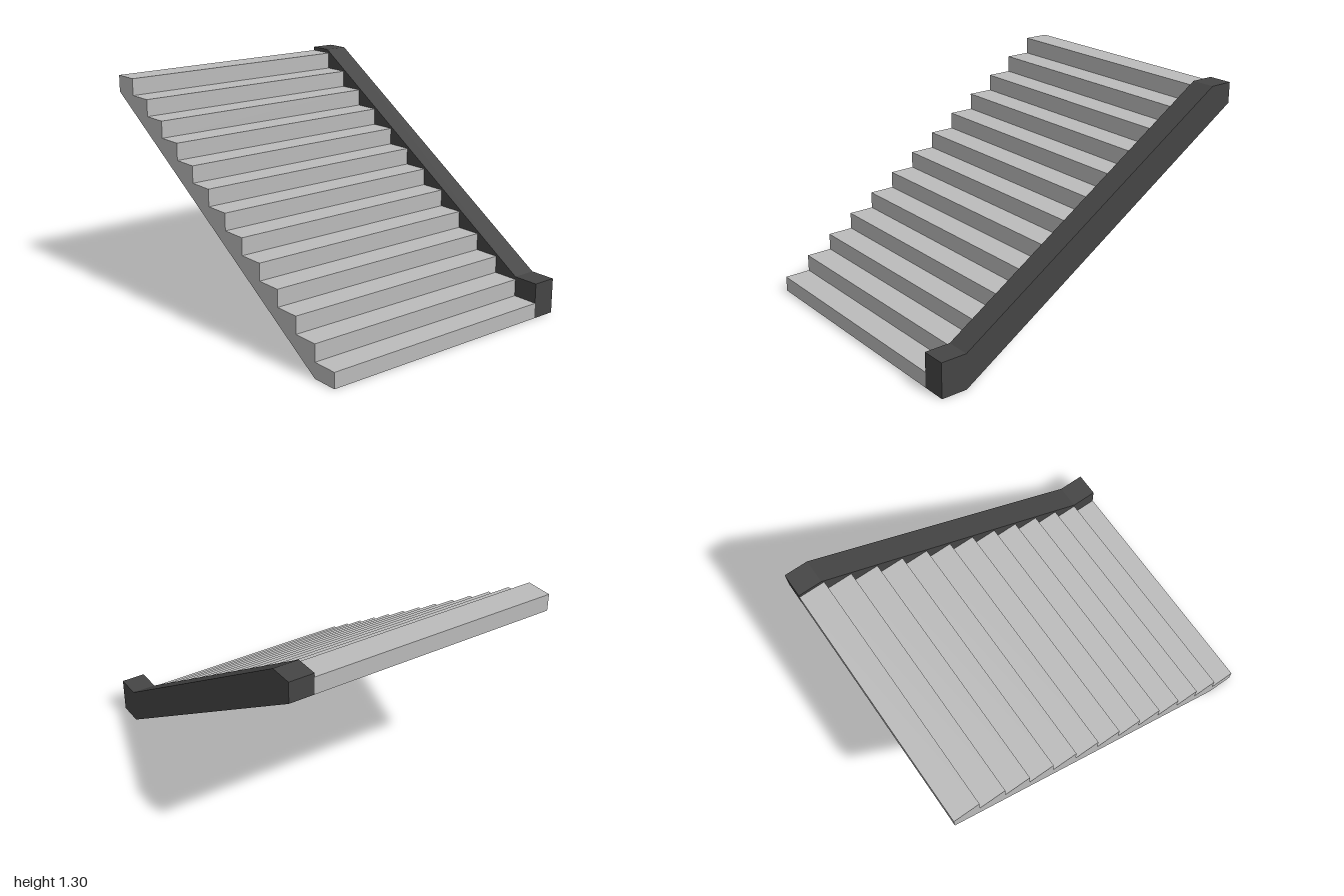
import * as THREE from 'three';

const STEPS = 13;
const RUN = 2 / STEPS;
const BOTTOM = 0.09, TOP = 1.275;
const RISE = (TOP - BOTTOM) / (STEPS - 1);
const CURB_Z = -0.657;

// Side profile in x/y, extruded between two z positions
function slab(name, points, z0, z1, material) {
  const shape = new THREE.Shape(points.map(([x, y]) => new THREE.Vector2(x, y)));
  const geometry = new THREE.ExtrudeGeometry(shape, { depth: z1 - z0, bevelEnabled: false });
  geometry.translate(0, 0, z0);
  const mesh = new THREE.Mesh(geometry, material);
  mesh.name = name;
  return mesh;
}

export function createModel() {
  const stone = new THREE.MeshStandardMaterial({ color: 0xbbbbbb });
  stone.name = 'light grey stone';
  const dark = new THREE.MeshStandardMaterial({ color: 0x454545 });
  dark.name = 'dark grey';

  // Sloped underside shared by the stair flight and the curb
  const underside = [[-1, 1.177], [1 - RUN, 0], [1, 0]];

  // Stepped upper edge, climbing from right to left
  const treads = [];
  for (let i = 0; i < STEPS; i++) {
    const y = BOTTOM + i * RISE;
    treads.push([1 - i * RUN, y], [1 - (i + 1) * RUN, y]);
  }

  // Straight curb along the back edge, level at both ends
  const curbTop = [[1, 0.205], [1 - RUN, 0.205], [-0.86, 1.297], [-1, 1.297]];

  const model = new THREE.Group();
  model.name = 'staircase';
  model.add(
    slab('steps', [...underside, ...treads], CURB_Z, 0.8, stone),
    slab('sideCurb', [...underside, ...curbTop], -0.8, CURB_Z, dark),
  );
  return model;
}
